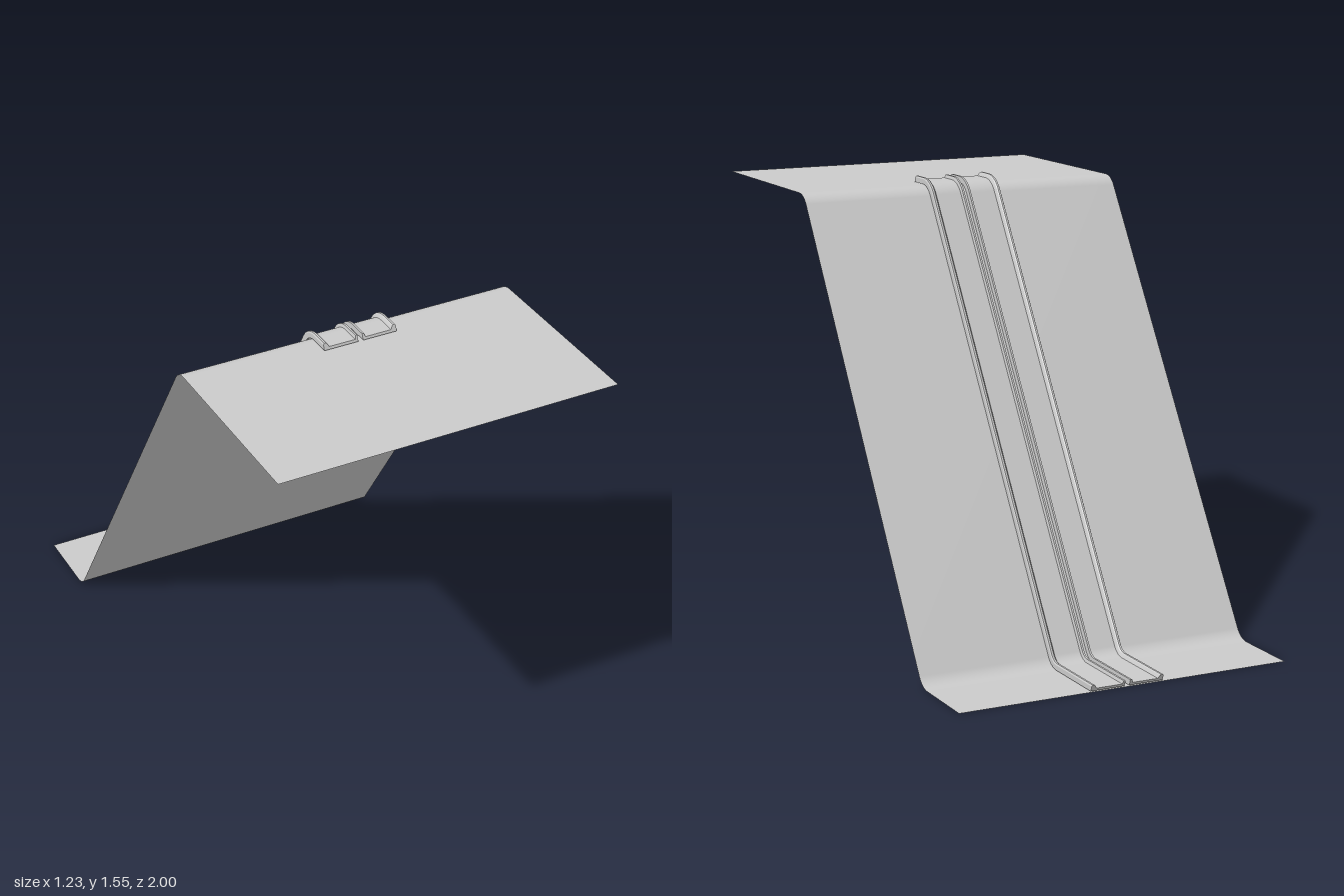
import * as THREE from 'three';

const TOP = 1.528, Z_TOP = 0.278, Z_BOTTOM = -0.704, RADIUS = 0.073;
const SLOPE = Math.atan2(TOP, Z_TOP - Z_BOTTOM);
const BEND_STEPS = 8;

// Side path: upper landing, bend, slope, bend, lower landing.
// Each station holds z, y and the tilt angle of the surface there.
function makePath(zStart, zEnd) {
  const t = RADIUS * Math.tan(SLOPE / 2);
  const path = [{ z: zStart, y: TOP, a: 0 }];
  const bend = (zc, yc, r, from, to) => {
    for (let i = 0; i <= BEND_STEPS; i++) {
      const a = from + (to - from) * i / BEND_STEPS;
      path.push({ z: zc - r * Math.sin(a), y: yc + r * Math.cos(a), a });
    }
  };
  bend(Z_TOP + t, TOP - RADIUS, RADIUS, 0, SLOPE);
  bend(Z_BOTTOM - t, RADIUS, -RADIUS, SLOPE, 0);
  path.push({ z: zEnd, y: 0, a: 0 });
  return path;
}

// Sweeps a section of [x, height above surface] points along the path.
// Every section edge has its own strip, so it is sharp across and smooth along.
function sweep(section, path, closed) {
  const pos = [], index = [];
  const last = path.length - 1;
  const add = ([x, h], i) => {
    const { z, y, a } = path[i];
    const skew = i === 0 || i === last ? -0.4 * h : 0; // slanted end cuts
    pos.push(x, y + h * Math.cos(a), z - h * Math.sin(a) + skew);
  };
  const edges = closed ? section.length : section.length - 1;
  for (let e = 0; e < edges; e++) {
    const base = pos.length / 3;
    for (let i = 0; i <= last; i++) {
      add(section[e], i);
      add(section[(e + 1) % section.length], i);
      if (i < last) {
        const k = base + i * 2;
        index.push(k, k + 2, k + 1, k + 1, k + 2, k + 3);
      }
    }
  }
  if (closed) {
    const tris = THREE.ShapeUtils.triangulateShape(section.map(p => new THREE.Vector2(...p)), []);
    for (const end of [0, last]) {
      const base = pos.length / 3;
      section.forEach(p => add(p, end));
      for (const [a, b, c] of tris) {
        if (end === 0) index.push(base + a, base + b, base + c);
        else index.push(base + a, base + c, base + b);
      }
    }
  }
  const geometry = new THREE.BufferGeometry();
  geometry.setAttribute('position', new THREE.Float32BufferAttribute(pos, 3));
  geometry.setIndex(index);
  geometry.computeVertexNormals();
  return geometry;
}

export function createModel() {
  const group = new THREE.Group();
  const material = new THREE.MeshStandardMaterial({ color: 0xcccccc, side: THREE.DoubleSide });
  const addMesh = (name, geometry) => {
    const mesh = new THREE.Mesh(geometry, material);
    mesh.name = name;
    group.add(mesh);
  };

  // Thin bent sheet
  addMesh('rampSheet', sweep([[0.616, 0], [-0.616, 0]], makePath(1, -0.99), false));

  // Two channels: flat bed, rounded outer lip, thin inner lip
  const channel = [
    [0.009, 0.004], [0.136, 0.004], [0.136, 0.022], [0.133, 0.027], [0.126, 0.027],
    [0.122, 0.024], [0.116, 0.013], [0.019, 0.013], [0.016, 0.025], [0.009, 0.025],
  ];
  const mirrored = channel.map(([x, h]) => [-x, h]).reverse();
  const path = makePath(0.39, -0.988);
  addMesh('leftChannel', sweep(channel, path, true));
  addMesh('rightChannel', sweep(mirrored, path, true));
  return group;
}
